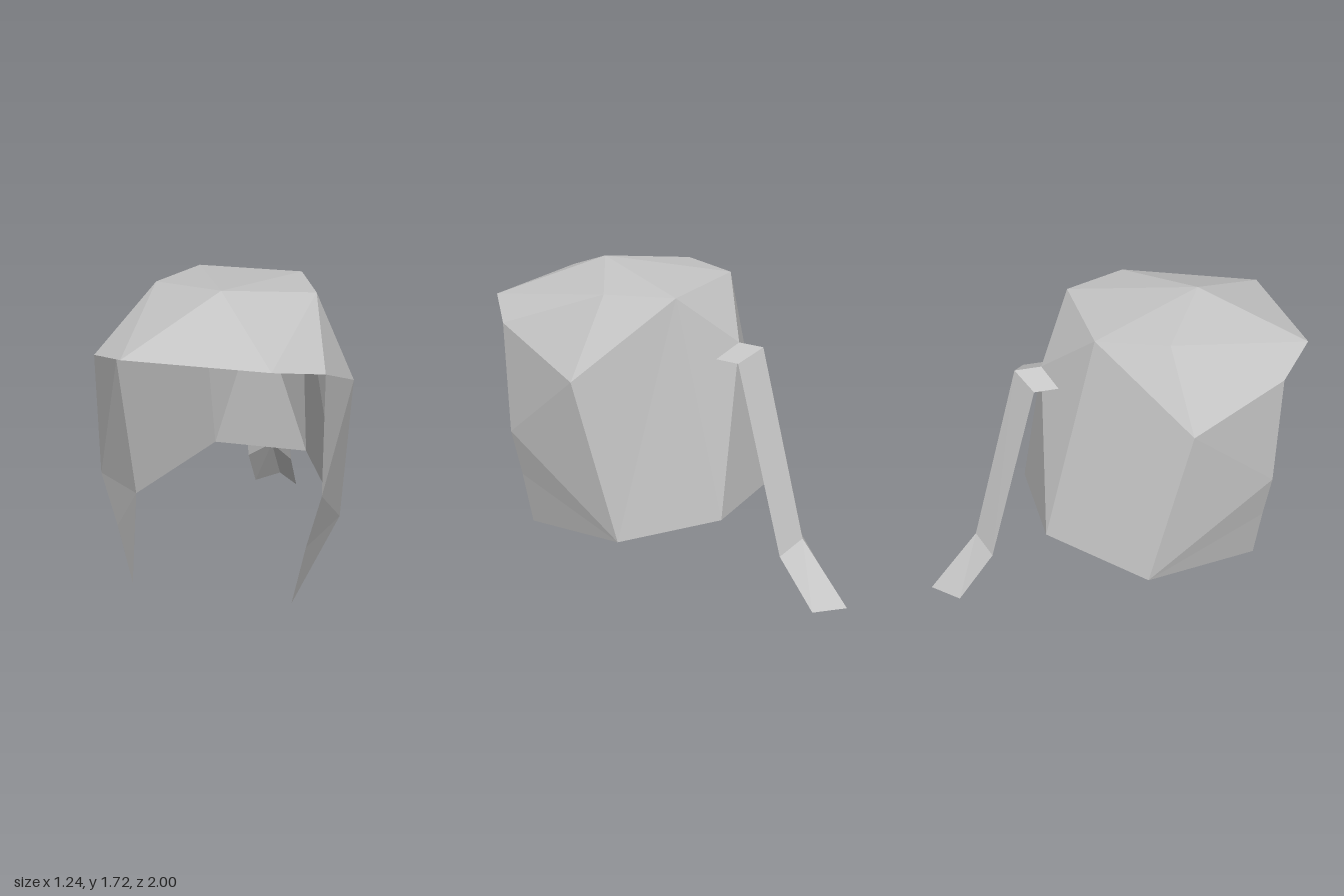
import * as THREE from 'three';

const hair = new THREE.MeshStandardMaterial({ color: 0xc4c4c4, flatShading: true, side: THREE.DoubleSide });
hair.name = 'hair grey';

// Flat-shaded mesh from a list of triangles, each made of three points
function facets(name, triangles) {
  const geometry = new THREE.BufferGeometry();
  geometry.setAttribute('position', new THREE.Float32BufferAttribute(triangles.flat(2), 3));
  geometry.computeVertexNormals();
  const mesh = new THREE.Mesh(geometry, hair);
  mesh.name = name;
  return mesh;
}

// Mirror a triangle across x = 0, keeping it facing outward
const mirror = ([x, y, z]) => [-x, y, z];
const flip = ([a, b, c]) => [mirror(a), mirror(c), mirror(b)];
const both = (triangles) => [...triangles, ...triangles.map(flip)];

// Points on the +x half
const apex = [0, 1.72, 0.52];
const fringe = [0.345, 1.52, 1.0];
const temple = [0.55, 1.45, 0.79];
const crownSide = [0.41, 1.655, 0.24];
const crownBack = [0.275, 1.655, -0.1];
const bulge = [0.62, 1.24, 0.31];
const lockMid = [0.55, 0.83, 0.79];
const lockLow = [0.48, 0.54, 0.79];
const lockTip = [0.415, 0.21, 0.79];
const napeSide = [0.275, 0.487, -0.375];
const tie = [0, 1.38, -0.31];

// One side of the hair; the lower hem flares differently left and right
function sideTriangles(hemX) {
  const hem = [hemX, 0.345, 0.1];
  return [
    [temple, bulge, crownSide],
    [crownSide, bulge, crownBack],
    [temple, lockMid, bulge],
    [lockMid, hem, bulge],
    [lockMid, lockLow, hem],
    [lockLow, lockTip, hem],
    [crownBack, bulge, hem],
    [crownBack, hem, napeSide],
  ];
}

// Ponytail: a folded strip with a ridge and two lower edges
function ponytailTriangles() {
  const ridge = [[0, 1.38, -0.31], [0, 1.38, -0.45], [0, 0.345, -0.72], [0, 0, -1]];
  const edge = [[0.135, 1.32, -0.24], [0.135, 1.32, -0.38], [0.135, 0.28, -0.655], [0.135, 0, -0.86]];
  const triangles = [];
  for (let i = 0; i < 3; i++) {
    triangles.push([ridge[i], edge[i], edge[i + 1]], [ridge[i], edge[i + 1], ridge[i + 1]]);
  }
  return both(triangles);
}

export function createModel() {
  const group = new THREE.Group();
  group.name = 'hairstyle';

  // Top of the head and overhanging fringe
  group.add(facets('crown', [
    [apex, mirror(fringe), fringe],
    [apex, crownBack, mirror(crownBack)],
    ...both([
      [apex, fringe, crownSide],
      [fringe, temple, crownSide],
      [apex, crownSide, crownBack],
    ]),
  ]));

  // Side locks
  group.add(facets('leftSide', sideTriangles(0.55)));
  group.add(facets('rightSide', sideTriangles(0.62).map(flip)));

  // Back of the head, gathered at the tie
  group.add(facets('back', [
    [crownBack, tie, mirror(crownBack)],
    [tie, napeSide, mirror(napeSide)],
    ...both([[crownBack, napeSide, tie]]),
  ]));

  group.add(facets('ponytail', ponytailTriangles()));
  return group;
}
